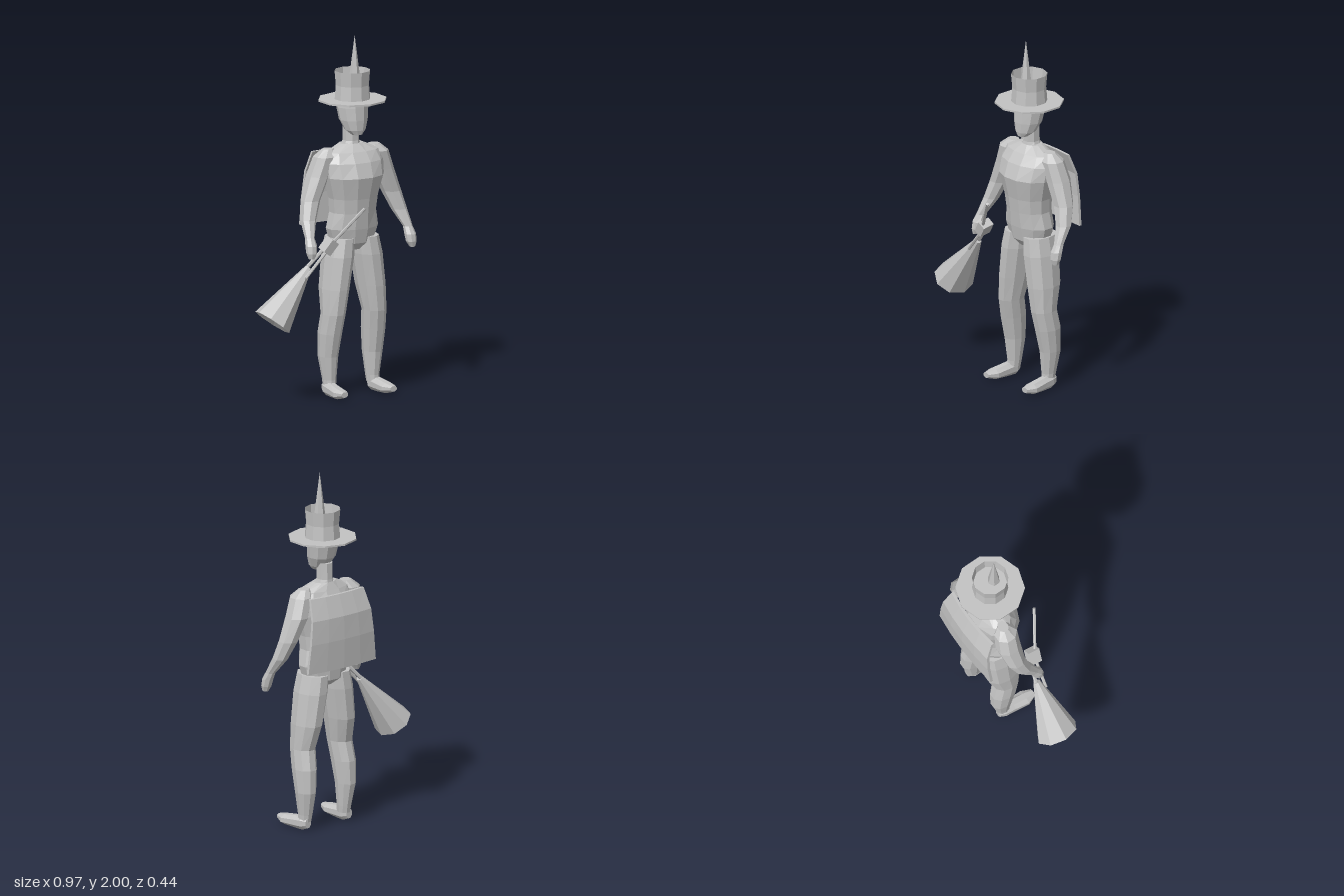
import * as THREE from 'three';

const CX = 0.135; // centre line of the figure
const grey = new THREE.MeshStandardMaterial({ color: 0xc2c2c2 });
grey.name = 'plain grey';
grey.flatShading = true;
grey.side = THREE.DoubleSide;

// Skin a solid over elliptical cross-sections [x, y, z, radiusA, radiusB]
function loft(rings, sides, axis = 'y') {
  const pts = rings.map(([x, y, z, a, b]) => Array.from({ length: sides }, (_, j) => {
    const t = (j + 0.5) / sides * Math.PI * 2;
    return axis === 'y'
      ? [x + a * Math.sin(t), y, z + b * Math.cos(t)]
      : [x + a * Math.cos(t), y + b * Math.sin(t), z];
  }));
  const pos = [];
  const tri = (p, q, r) => pos.push(...p, ...q, ...r);
  const last = rings.length - 1;
  for (let j = 0; j < sides; j++) {
    const k = (j + 1) % sides;
    for (let i = 0; i < last; i++) {
      tri(pts[i][j], pts[i][k], pts[i + 1][k]);
      tri(pts[i][j], pts[i + 1][k], pts[i + 1][j]);
    }
    tri(rings[0].slice(0, 3), pts[0][k], pts[0][j]);
    tri(rings[last].slice(0, 3), pts[last][j], pts[last][k]);
  }
  const g = new THREE.BufferGeometry();
  g.setAttribute('position', new THREE.Float32BufferAttribute(pos, 3));
  g.computeVertexNormals();
  return g;
}

// Upright section from half width and front/back depth, on the centre line
const section = ([y, w, front, back]) => [CX, y, (front + back) / 2, w, (front - back) / 2];

export function createModel() {
  const model = new THREE.Group();
  model.name = 'figure';
  const add = (name, geometry, parent = model) => {
    const m = new THREE.Mesh(geometry, grey);
    m.name = name;
    parent.add(m);
    return m;
  };
  // Place a geometry built along y between two points
  const span = (name, from, to, make, parent) => {
    const a = new THREE.Vector3(...from), b = new THREE.Vector3(...to);
    const m = add(name, make(a.distanceTo(b)), parent);
    m.position.copy(a).lerp(b, 0.5);
    m.quaternion.setFromUnitVectors(new THREE.Vector3(0, 1, 0), b.clone().sub(a).normalize());
    return m;
  };

  // Torso, neck and head
  add('torso', loft([
    [0.81, 0.05, 0.02, -0.09], [0.85, 0.13, 0.055, -0.14], [0.93, 0.155, 0.07, -0.145],
    [1.02, 0.137, 0.08, -0.14], [1.1, 0.145, 0.09, -0.14], [1.22, 0.178, 0.115, -0.155],
    [1.3, 0.185, 0.085, -0.15], [1.355, 0.165, 0.045, -0.12], [1.395, 0.07, 0.005, -0.1],
  ].map(section), 12));
  add('neck', loft([
    [1.37, 0.06, 0.01, -0.105], [1.41, 0.045, 0, -0.098], [1.5, 0.045, 0, -0.095],
  ].map(section), 8));
  add('head', loft([
    [1.45, 0.03, 0.045, -0.02], [1.475, 0.058, 0.052, -0.06], [1.53, 0.08, 0.054, -0.1],
    [1.6, 0.09, 0.05, -0.118], [1.65, 0.085, 0.045, -0.115],
  ].map(section), 10));

  // Arms, legs and feet, mirrored about the centre line
  const arm = [
    [-0.01, 1.375, -0.05, 0.035, 0.03], [-0.035, 1.335, -0.05, 0.06, 0.065],
    [-0.07, 1.23, -0.06, 0.064, 0.07], [-0.122, 1.1, -0.05, 0.055, 0.056],
    [-0.154, 1.0, -0.02, 0.044, 0.046], [-0.177, 0.91, 0.035, 0.026, 0.03],
    [-0.18, 0.87, 0.055, 0.032, 0.034], [-0.182, 0.83, 0.064, 0.03, 0.03],
    [-0.186, 0.8, 0.068, 0.016, 0.018],
  ];
  const leg = [
    [-0.003, 0.05, -0.045, 0.034, 0.042], [-0.002, 0.09, -0.05, 0.037, 0.045],
    [-0.006, 0.22, -0.057, 0.053, 0.066], [-0.003, 0.35, -0.042, 0.062, 0.08],
    [0.005, 0.46, -0.02, 0.064, 0.08], [0.02, 0.6, -0.035, 0.076, 0.105],
    [0.045, 0.78, -0.038, 0.082, 0.112], [0.06, 0.88, -0.04, 0.075, 0.105],
  ];
  const foot = [
    [-0.01, 0.045, -0.085, 0.02, 0.03], [-0.008, 0.042, -0.05, 0.038, 0.042],
    [-0.012, 0.038, 0.01, 0.04, 0.038], [-0.018, 0.034, 0.09, 0.046, 0.03],
    [-0.02, 0.038, 0.145, 0.022, 0.016],
  ];
  for (const side of ['right', 'left']) {
    const place = (rings) => side === 'right' ? rings : rings.map(([x, ...rest]) => [2 * CX - x, ...rest]);
    add(side + 'Arm', loft(place(arm).reverse(), 8));
    arm.reverse();
    if (side === 'left') arm.reverse();
    add(side + 'Leg', loft(place(leg), 10));
    add(side + 'Foot', loft(place(foot), 8, 'z'));
  }

  // Hat with a ten-sided brim, an open crown and a spike
  const hat = new THREE.Group();
  hat.name = 'hat';
  hat.position.set(CX, 0, -0.032);
  model.add(hat);
  add('hatBrim', new THREE.CylinderGeometry(0.19, 0.19, 0.01, 10), hat).position.y = 1.637;
  const crown = [[0.1, 1.635], [0.093, 1.72], [0.1, 1.8]].map(([r, y]) => new THREE.Vector2(r, y));
  add('hatCrown', new THREE.LatheGeometry(crown, 10), hat);
  const floor = add('hatFloor', new THREE.CircleGeometry(0.093, 10), hat);
  floor.rotation.set(-Math.PI / 2, 0, Math.PI / 2);
  floor.position.y = 1.725;
  add('hatSpike', new THREE.ConeGeometry(0.035, 0.275, 6), hat).position.set(0, 1.8625, 0.024);

  // Cape: a thin bent sheet, wider at the hem
  const cape = new THREE.BoxGeometry(1, 1, 0.016, 4, 3, 1);
  const rows = [[0.935, 0.238, -0.2], [1.1, 0.22, -0.206], [1.23, 0.205, -0.2], [1.345, 0.187, -0.158]];
  const p = cape.attributes.position;
  for (let i = 0; i < p.count; i++) {
    const [y, w, z] = rows[Math.round((p.getY(i) + 0.5) * 3)];
    const u = p.getX(i) * 2;
    p.setXYZ(i, CX + u * w, y, z + p.getZ(i) + 0.016 * (u * u - 0.5));
  }
  add('cape', cape);

  // Broom held in the right hand
  const broom = new THREE.Group();
  broom.name = 'broom';
  model.add(broom);
  const rod = (r) => (len) => new THREE.CylinderGeometry(r, r, len, 6);
  span('broomHandle', [-0.1, 0.86, 0.1], [0.065, 1.08, 0.213], rod(0.009), broom);
  span('broomBlock', [-0.115, 0.835, 0.085], [-0.068, 0.9, 0.1],
    (len) => new THREE.BoxGeometry(0.05, len, 0.07), broom);
  span('broomUpperRod', [-0.23, 0.71, 0.025], [-0.09, 0.87, 0.075], rod(0.011), broom);
  span('broomLowerRod', [-0.23, 0.7, 0.08], [-0.09, 0.86, 0.1], rod(0.009), broom);
  // Bristles: a flared eight-sided bundle with a hollowed end
  const flare = [[0, 0.035], [0.105, 0], [0.018, 0.36], [0, 0.36]];
  span('broomBristles', [-0.41, 0.465, 0.025], [-0.195, 0.745, 0.045], (len) => {
    const g = new THREE.LatheGeometry(flare.map(([r, y]) => new THREE.Vector2(r, y - len / 2)), 8);
    return g.scale(1, 1, 1.15);
  }, broom);

  return model;
}
